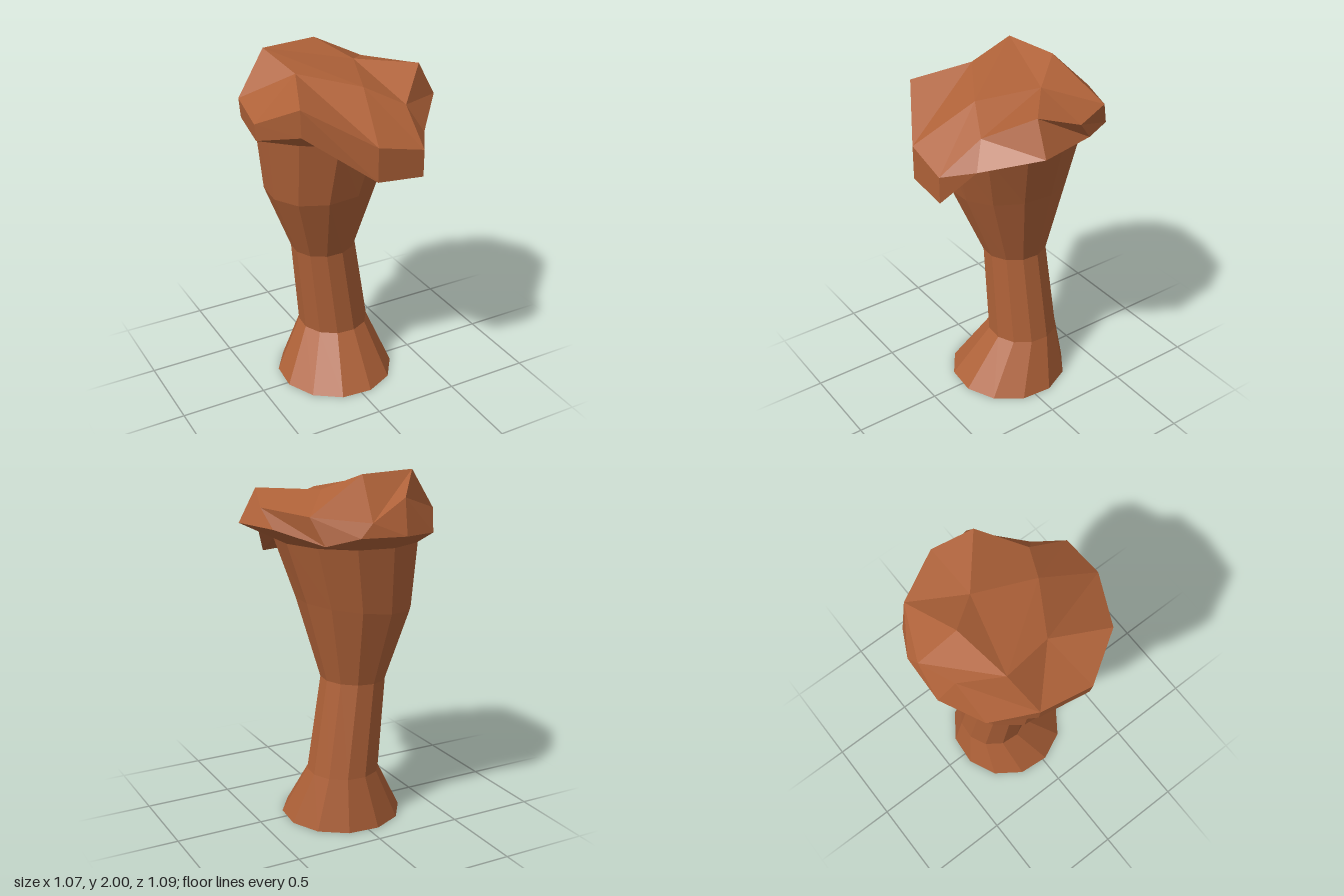
import * as THREE from 'three';

const clay = new THREE.MeshStandardMaterial({ color: 0xae6138, side: THREE.DoubleSide, flatShading: true });
clay.name = 'red clay rock';

const SIDES = 12;

// Horizontal ring of trunk points; tilt raises it towards +x
function ring(y, cx, cz, r, tilt = 0) {
  return Array.from({ length: SIDES }, (_, i) => {
    const a = THREE.MathUtils.degToRad(20 + 30 * i);
    const x = cx + r * Math.cos(a);
    return [x, y + tilt * (x - cx), cz + r * Math.sin(a)];
  });
}

// Faces between a lower and an upper ring
function band(lower, upper) {
  return lower.map((p, i) => {
    const j = (i + 1) % lower.length;
    return [p, upper[i], upper[j], lower[j]];
  });
}

// Mesh from convex polygons, each split into a fan with its own corners
function facetMesh(name, polygons) {
  const pos = [];
  for (const poly of polygons) {
    for (let i = 1; i < poly.length - 1; i++) {
      const tri = [poly[0], poly[i], poly[i + 1]];
      if (new Set(tri).size === 3) pos.push(...tri.flat());
    }
  }
  const geo = new THREE.BufferGeometry();
  geo.setAttribute('position', new THREE.Float32BufferAttribute(pos, 3));
  geo.computeVertexNormals();
  const mesh = new THREE.Mesh(geo, clay);
  mesh.name = name;
  return mesh;
}

export function createModel() {
  const model = new THREE.Group();
  model.name = 'rockPillar';

  // Trunk: flared foot, narrow waist, widening neck; open underneath
  const rings = [
    ring(0, 0, -0.04, 0.345),
    ring(0.3, 0.03, -0.12, 0.205),
    ring(0.835, -0.04, -0.11, 0.185, 0.04),
    ring(1.26, -0.06, -0.08, 0.325, 0.12),
    ring(1.625, -0.03, -0.05, 0.403, 0.02),
  ];
  const names = ['foot', 'waist', 'lowerNeck', 'upperNeck'];
  names.forEach((name, i) => model.add(facetMesh(name, band(rings[i], rings[i + 1]))));

  // Cap: lower rim, starting at the +x side and turning towards the front
  const lowerRim = [
    [0.535, 1.72, 0.12], [0.31, 1.63, 0.38], [0.21, 1.46, 0.54], [-0.055, 1.48, 0.53],
    [-0.38, 1.71, 0.32], [-0.525, 1.64, 0.09], [-0.48, 1.66, -0.2], [-0.35, 1.68, -0.425],
    [-0.115, 1.7, -0.545], [0.15, 1.71, -0.535], [0.31, 1.67, -0.455], [0.48, 1.73, -0.2],
  ];

  // Upper rim corners
  const left = [0.44, 1.905, 0.105], notch = [0.24, 1.77, 0.305];
  const lipL = [0.21, 1.61, 0.54], lipR = [-0.055, 1.67, 0.53];
  const frontR = [-0.39, 1.865, 0.33], right = [-0.535, 1.735, 0.095], backR = [-0.49, 1.77, -0.2];
  const backA = [-0.155, 1.885, -0.455], backB = [0.075, 1.78, -0.52];
  const backL = [0.365, 1.815, -0.39], sideL = [0.51, 1.835, -0.115];
  const upperRim = [left, notch, lipL, lipR, frontR, right, backR, backR, backA, backB, backL, sideL];

  // Corners on top of the cap
  const peakR = [-0.31, 2, -0.265], peakL = [0.02, 1.998, -0.31];
  const saddle = [0.165, 1.905, -0.125], brow = [0.04, 1.87, 0.205], crest = [-0.26, 1.935, 0.02];

  model.add(facetMesh('capUnderside', band(rings[4], lowerRim)));
  model.add(facetMesh('capSide', band(lowerRim, upperRim)));
  model.add(facetMesh('capTop', [
    [right, frontR, crest, backR],
    [backR, crest, peakR],
    [peakR, crest, brow, saddle, peakL],
    [saddle, brow, notch, left],
    [crest, frontR, lipR, brow],
    [brow, lipR, lipL, notch],
    [backR, peakR, backA],
    [peakR, peakL, backB, backA],
    [peakL, saddle, backL, backB],
    [saddle, left, sideL, backL],
  ]));
  return model;
}
